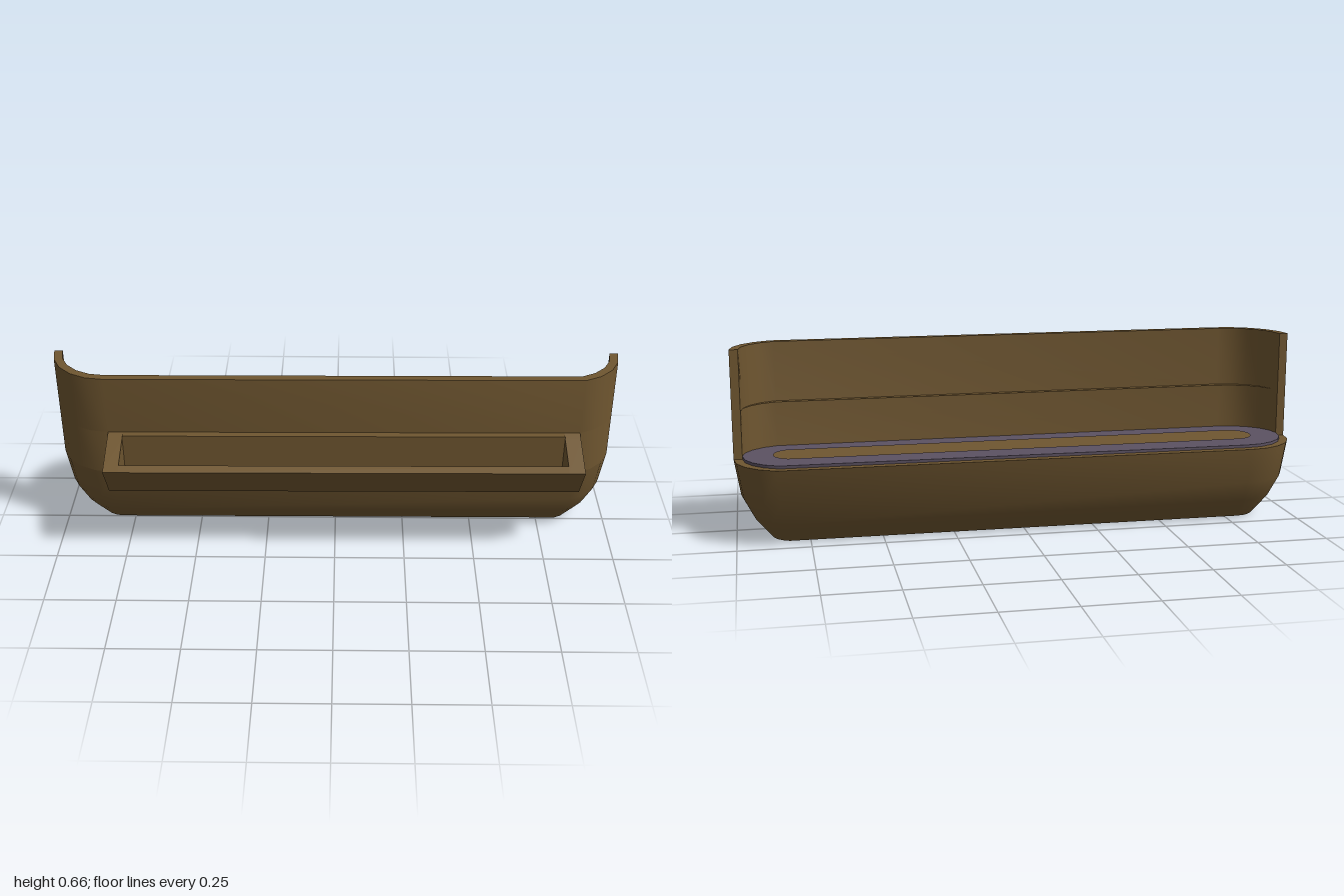
import * as THREE from 'three';
import { toCreasedNormals } from 'three/addons/utils/BufferGeometryUtils.js';

const STRAIGHT = 0.796; // half distance between the two end-arc centres
const CENTRE_Z = -0.086;
const STEP = Math.PI / 10;

// Rounded-end outline as [x, z] points; half = only the front side.
// The right arc stops one step early, so the long sides taper slightly.
function outline(rx, rz = rx, half = false) {
  const pts = [];
  for (let i = half ? 0 : -4; i <= 4; i++) {
    pts.push([STRAIGHT + rx * Math.cos(i * STEP), rz * Math.sin(i * STEP)]);
  }
  for (let i = 5; i <= (half ? 10 : 15); i++) {
    pts.push([-STRAIGHT + rx * Math.cos(i * STEP), rz * Math.sin(i * STEP)]);
  }
  return pts;
}

const toVectors = (pts) => pts.map(([x, z]) => new THREE.Vector2(x, -z));

// Extrudes a plan shape upwards from y0 to y1
function slab(shape, y0, y1) {
  const geo = new THREE.ExtrudeGeometry(shape, { depth: y1 - y0, bevelEnabled: false });
  geo.rotateX(-Math.PI / 2);
  geo.translate(0, y0, CENTRE_Z);
  return toCreasedNormals(geo, 0.6);
}

// Curved wall following the front half of the outline
function halfWall(outerR, innerX, innerZ, y0, y1) {
  const pts = [...outline(outerR, outerR, true), ...outline(innerX, innerZ, true).reverse()];
  return slab(new THREE.Shape(toVectors(pts)), y0, y1);
}

// Extrudes a [z, y] profile sideways from x0 to x1
function sideways(profile, x0, x1) {
  const shape = new THREE.Shape(profile.map(([z, y]) => new THREE.Vector2(z, y)));
  const geo = new THREE.ExtrudeGeometry(shape, { depth: x1 - x0, bevelEnabled: false });
  geo.rotateY(-Math.PI / 2);
  geo.translate(x1, 0, 0);
  return toCreasedNormals(geo, 0.3);
}

// Closed solid lofted through [radius, y] levels of the outline
function loft(levels) {
  const pos = [], index = [];
  const n = outline(1).length;
  levels.forEach(([r, y]) => outline(r).forEach(([x, z]) => pos.push(x, y, z + CENTRE_Z)));
  const bottom = pos.length / 3, top = bottom + 1;
  pos.push(0, levels[0][1], CENTRE_Z, 0, levels[levels.length - 1][1], CENTRE_Z);
  for (let i = 0; i < n; i++) {
    const k = (i + 1) % n;
    for (let j = 0; j < levels.length - 1; j++) {
      const a = j * n + i, b = j * n + k;
      index.push(a, a + n, b, b, a + n, b + n);
    }
    const last = (levels.length - 1) * n;
    index.push(bottom, i, k, top, last + k, last + i);
  }
  const geo = new THREE.BufferGeometry();
  geo.setAttribute('position', new THREE.Float32BufferAttribute(pos, 3));
  geo.setIndex(index);
  return toCreasedNormals(geo, 0.6);
}

export function createModel() {
  const model = new THREE.Group();
  const brown = new THREE.MeshStandardMaterial({ color: 0x6f5630 });
  const purple = new THREE.MeshStandardMaterial({ color: 0x5c5262 });
  const add = (name, geo, mat = brown, parent = model) => {
    const mesh = new THREE.Mesh(geo, mat);
    mesh.name = name;
    parent.add(mesh);
    return mesh;
  };

  // Hull-like base with a flat top
  add('base', loft([[0.083, 0], [0.143, 0.073], [0.183, 0.15], [0.204, 0.277]]));

  // Raised ring lying on the base
  const ring = new THREE.Shape(toVectors(outline(0.174)));
  ring.holes.push(new THREE.Path(toVectors(outline(0.07))));
  add('seatRing', slab(ring, 0.277, 0.287), purple);

  // Upright wall, thicker below the inner ledge
  add('lowerWall', halfWall(0.204, 0.174, 0.15, 0.277, 0.445));
  add('upperWall', halfWall(0.204, 0.174, 0.174, 0.445, 0.657));

  // Open trough on the front, turned to follow the tapered wall
  const trough = new THREE.Group();
  trough.name = 'trough';
  trough.rotation.y = 0.0063;
  model.add(trough);
  const channel = [
    [0.1, 0.258], [0.205, 0.258], [0.285, 0.388], [0.255, 0.398],
    [0.19, 0.29], [0.14, 0.29], [0.14, 0.445], [0.1, 0.445],
  ];
  const end = [[0.1, 0.258], [0.205, 0.258], [0.285, 0.388], [0.14, 0.437], [0.115, 0.445], [0.1, 0.445]];
  add('troughChannel', sideways(channel, -0.745, 0.803), brown, trough);
  add('troughEndRight', sideways(end, -0.797, -0.745), brown, trough);
  add('troughEndLeft', sideways(end, 0.803, 0.858), brown, trough);

  return model;
}
